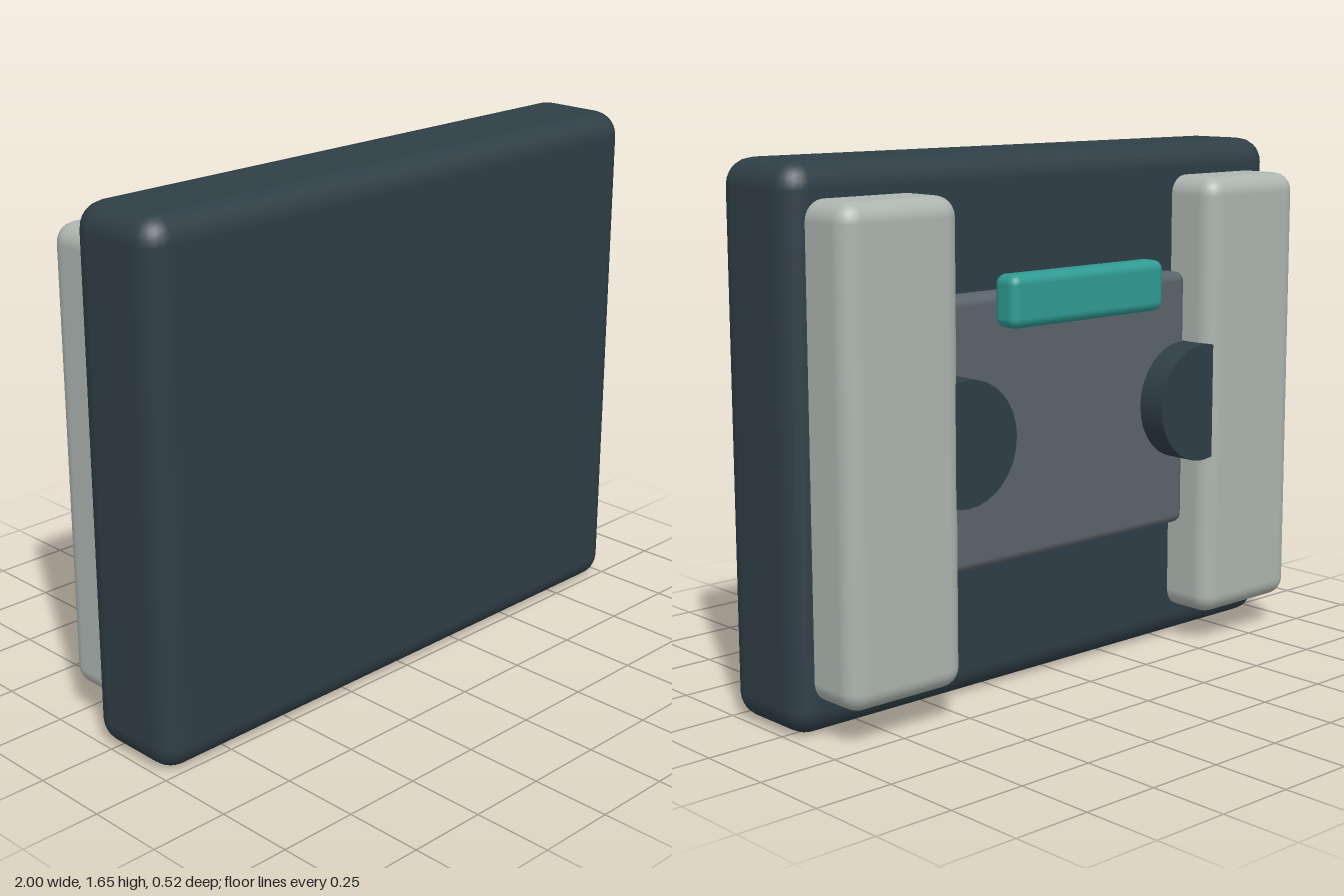
import * as THREE from 'three';
import { RoundedBoxGeometry } from 'three/addons/geometries/RoundedBoxGeometry.js';

export function createModel() {
  const group = new THREE.Group();
  const material = (name, color) => {
    const m = new THREE.MeshStandardMaterial({ color });
    m.name = name;
    return m;
  };
  const slate = material('dark slate', 0x2f3e46);
  const lightGrey = material('light grey', 0xadb5b0);
  const midGrey = material('mid grey', 0x5a646a);
  const teal = material('teal', 0x2f9a92);

  // Rounded box given by its limits on each axis
  function block(name, mat, [x0, x1], [y0, y1], [z0, z1], radius) {
    const geometry = new RoundedBoxGeometry(x1 - x0, y1 - y0, z1 - z0, 3, radius);
    const mesh = new THREE.Mesh(geometry, mat);
    mesh.position.set((x0 + x1) / 2, (y0 + y1) / 2, (z0 + z1) / 2);
    mesh.name = name;
    group.add(mesh);
  }

  // Main slab and the plate on its back
  block('body', slate, [-1, 1], [0, 1.65], [-0.085, 0.26], 0.08);
  block('backPlate', midGrey, [-0.52, 0.52], [0.41, 1.24], [-0.155, -0.05], 0.03);

  // Grip bar across the top of the plate
  block('gripBar', teal, [-0.32, 0.32], [1.14, 1.3], [-0.25, -0.155], 0.03);

  // Upright rails, with a round knob tucked against each
  const knobGeometry = new THREE.CylinderGeometry(0.19, 0.19, 0.13, 32);
  knobGeometry.rotateX(Math.PI / 2);
  for (const [side, s] of [['left', 1], ['right', -1]]) {
    const xs = s > 0 ? [0.52, 0.94] : [-0.94, -0.52];
    block(side + 'Rail', lightGrey, xs, [0.105, 1.545], [-0.26, 0], 0.06);

    const knob = new THREE.Mesh(knobGeometry, slate);
    knob.position.set(s * 0.5, 0.825, -0.185);
    knob.name = side + 'Knob';
    group.add(knob);
  }
  return group;
}
